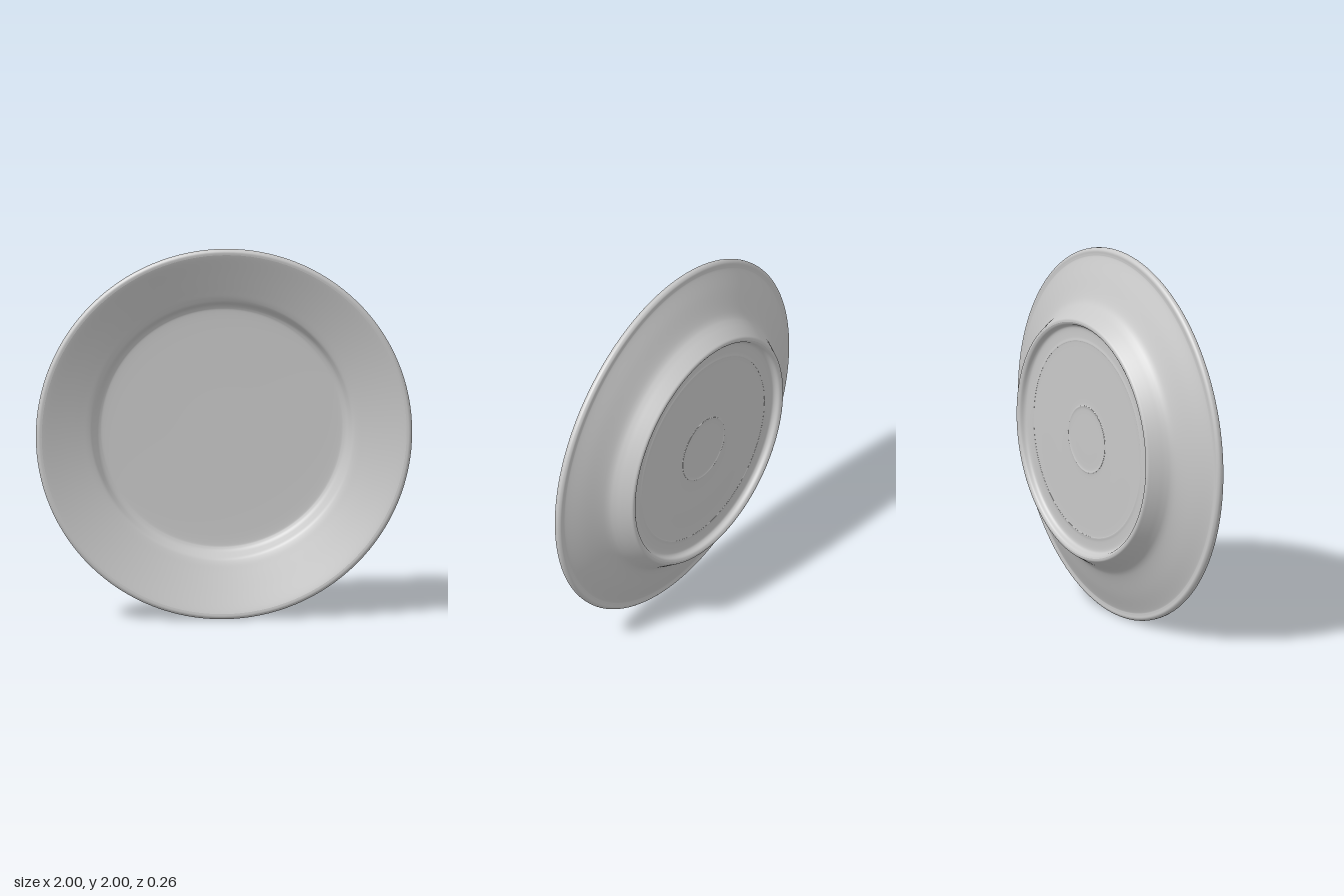
import * as THREE from 'three';

export function createModel() {
  const model = new THREE.Group();
  model.name = 'plate';

  const glaze = new THREE.MeshStandardMaterial({ color: 0xc8c8c8 });
  glaze.name = 'grey glaze';

  // Cross-sections as [radius, depth] pairs, smoothed and spun about the plate's axis
  const spin = (name, pairs) => {
    const curve = new THREE.SplineCurve(pairs.map(([r, d]) => new THREE.Vector2(r, d)));
    const points = curve.getPoints((pairs.length - 1) * 5);
    points.forEach((p) => { p.x = Math.max(p.x, 0); });
    const mesh = new THREE.Mesh(new THREE.LatheGeometry(points, 128), glaze);
    mesh.name = name;
    mesh.rotation.x = Math.PI / 2;
    mesh.position.y = 1;
    model.add(mesh);
  };

  // Recessed underside with faint turning rings, up to the crest of the foot
  spin('underside', [
    [0, -0.1], [0.08, -0.1], [0.16, -0.1], [0.18, -0.103], [0.2, -0.099],
    [0.35, -0.098], [0.51, -0.097], [0.53, -0.099], [0.55, -0.096], [0.595, -0.096],
    [0.612, -0.105], [0.622, -0.125], [0.635, -0.133],
  ]);

  // Outer side of the foot, flaring back and rolled rim bead
  spin('footAndRim', [
    [0.635, -0.133], [0.65, -0.13], [0.663, -0.112], [0.683, -0.08], [0.703, -0.048],
    [0.725, -0.022], [0.765, 0.002], [0.86, 0.045], [0.945, 0.086], [0.965, 0.091],
    [0.985, 0.091], [0.997, 0.1], [1, 0.111], [0.997, 0.123], [0.985, 0.131], [0.97, 0.13],
  ]);

  // Front: sloping border, well wall and nearly flat floor
  spin('frontFace', [
    [0.97, 0.13], [0.945, 0.12], [0.86, 0.083], [0.765, 0.042], [0.715, 0.02],
    [0.693, 0.005], [0.68, -0.02], [0.668, -0.043], [0.65, -0.057], [0.62, -0.063],
    [0.5, -0.066], [0.25, -0.068], [0, -0.068],
  ]);

  return model;
}
